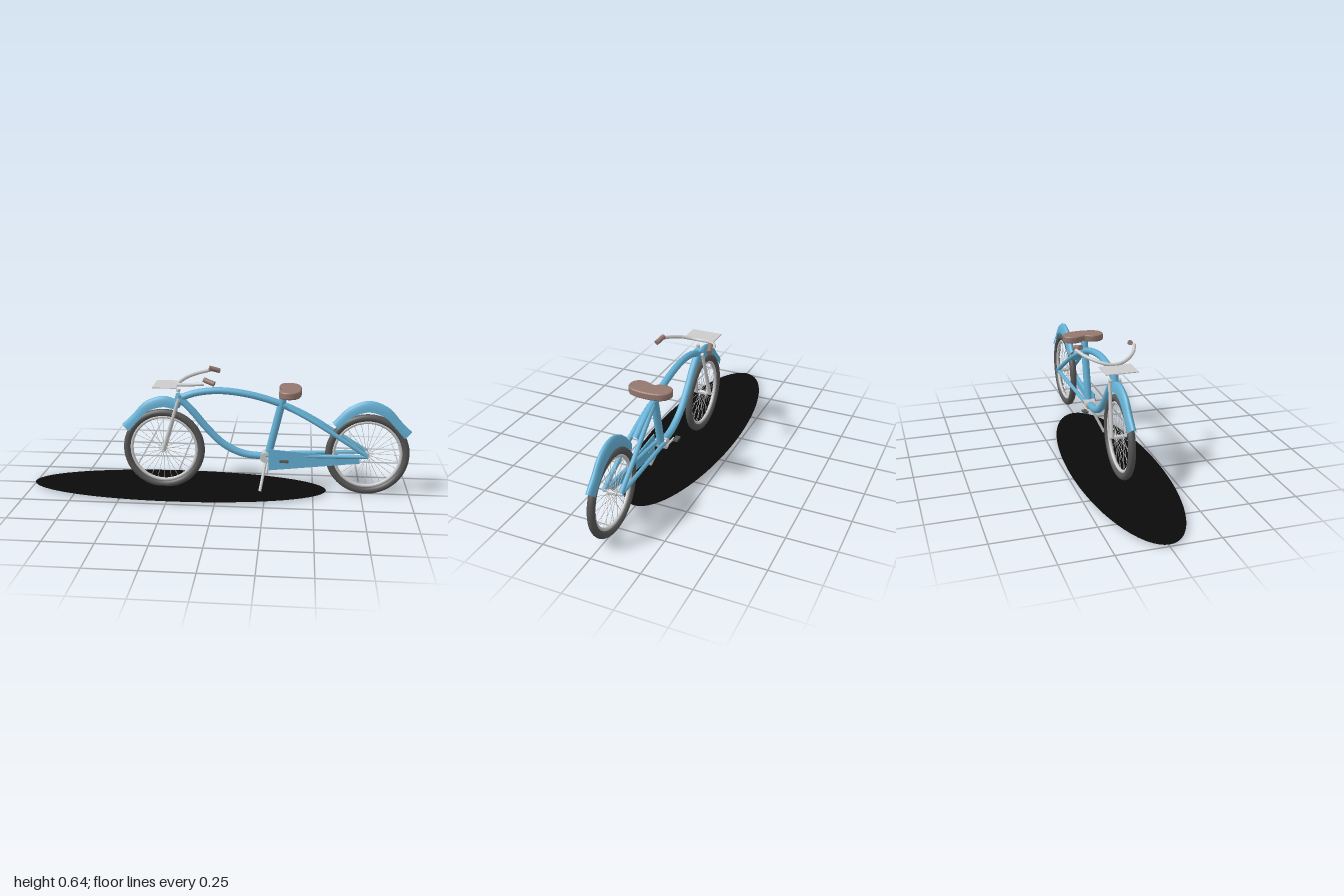
import * as THREE from 'three';

const V = (x, y, z = 0) => new THREE.Vector3(x, y, z);
const paint = (color, side = THREE.FrontSide) => new THREE.MeshStandardMaterial({ color, side });

export function createModel() {
  const model = new THREE.Group();
  const blue = paint(0x64b0d4), blueThin = paint(0x64b0d4, THREE.DoubleSide);
  const grey = paint(0xcccccc), rubber = paint(0x555555), leather = paint(0x94786f);

  const add = (name, geo, mat, parent = model) => {
    const m = new THREE.Mesh(geo, mat);
    m.name = name;
    parent.add(m);
    return m;
  };
  // Straight round bar between two points
  const bar = (name, a, b, r, mat, r2 = r, parent = model, sides = 16) => {
    const d = b.clone().sub(a);
    const m = add(name, new THREE.CylinderGeometry(r2, r, d.length(), sides), mat, parent);
    m.position.copy(a).add(b).multiplyScalar(0.5);
    m.quaternion.setFromUnitVectors(V(0, 1), d.normalize());
    return m;
  };
  const tube = (name, pts, r, mat) =>
    add(name, new THREE.TubeGeometry(new THREE.CatmullRomCurve3(pts), 48, r, 14), mat);
  const box = (name, w, h, d, x, y, z, mat) => {
    const m = add(name, new THREE.BoxGeometry(w, h, d), mat);
    m.position.set(x, y, z);
    return m;
  };

  // Flat dark ground disc
  const disc = add('groundDisc', new THREE.CircleGeometry(1, 64), paint(0x0a0a0a, THREE.DoubleSide));
  disc.scale.set(0.785, 0.235, 1);
  disc.rotation.x = -Math.PI / 2;
  disc.position.set(-0.215, 0.01, 0);

  // Wheels: tire, rim, hub and spokes
  const wheel = (name, x) => {
    const g = new THREE.Group();
    g.name = name;
    g.position.set(x, 0.217, 0);
    model.add(g);
    add('tire', new THREE.TorusGeometry(0.198, 0.019, 16, 64), rubber, g);
    add('rim', new THREE.TorusGeometry(0.174, 0.009, 10, 64), grey, g);
    bar('hub', V(0, 0, -0.025), V(0, 0, 0.025), 0.012, grey, 0.012, g);
    bar('axle', V(0, 0, -0.052), V(0, 0, 0.052), 0.006, grey, 0.006, g);
    const n = 28;
    for (let i = 0; i < n; i++) {
      const a = (i / n) * Math.PI * 2, z = i % 2 ? 0.018 : -0.018;
      bar('spoke', V(0.01 * Math.cos(a), 0.01 * Math.sin(a), z),
        V(0.172 * Math.cos(a), 0.172 * Math.sin(a), 0), 0.0013, grey, 0.0013, g, 5);
    }
  };
  wheel('frontWheel', -0.29);
  wheel('rearWheel', 0.775);

  // Fender: arched open shell between a ridge curve and a lower edge curve
  const fender = (name, x, dir, top, low) => {
    const ridge = new THREE.CatmullRomCurve3(top.map(p => V(...p)));
    const edge = new THREE.CatmullRomCurve3(low.map(p => V(...p)));
    const N = 32, M = 12, pos = [], idx = [];
    for (let i = 0; i <= N; i++) {
      const a = ridge.getPoint(i / N), b = edge.getPoint(i / N);
      for (let j = 0; j <= M; j++) {
        const t = (j / M) * Math.PI, s = Math.sin(t);
        pos.push(x + dir * (b.x + (a.x - b.x) * s), b.y + (a.y - b.y) * s, 0.021 * Math.cos(t));
        if (i < N && j < M) {
          const k = i * (M + 1) + j, l = k + M + 1;
          if (dir > 0) idx.push(k, l, k + 1, k + 1, l, l + 1);
          else idx.push(k, k + 1, l, k + 1, l + 1, l);
        }
      }
    }
    const g = new THREE.BufferGeometry();
    g.setAttribute('position', new THREE.Float32BufferAttribute(pos, 3));
    g.setIndex(idx);
    g.computeVertexNormals();
    add(name, g, blueThin);
  };
  const outer = [[0.222, 0.345], [0.165, 0.4], [0.1, 0.47], [0, 0.505]];
  const inner = [[0.185, 0.313], [0.13, 0.375], [0.08, 0.423], [0, 0.449]];
  fender('frontFender', -0.29, -1, [...outer, [-0.09, 0.48]], [...inner, [-0.07, 0.435]]);
  fender('rearFender', 0.775, 1,
    [...outer, [-0.1, 0.47], [-0.185, 0.385]], [...inner, [-0.08, 0.423], [-0.155, 0.355]]);

  // Main frame
  tube('topTube', [V(-0.205, 0.495), V(-0.12, 0.525), V(0, 0.54), V(0.15, 0.525),
    V(0.3, 0.485), V(0.43, 0.43), V(0.54, 0.37)], 0.018, blue);
  tube('downTube', [V(-0.205, 0.495), V(-0.14, 0.43), V(-0.06, 0.335), V(0.03, 0.25),
    V(0.13, 0.203), V(0.25, 0.19)], 0.019, blue);
  bar('seatTube', V(0.26, 0.19), V(0.338, 0.53), 0.02, blue);
  bar('headTube', V(-0.222, 0.45), V(-0.203, 0.515), 0.02, blue);
  for (const s of [1, -1]) {
    tube('seatStay', [V(0.36, 0.462, s * 0.01), V(0.5, 0.39, s * 0.025),
      V(0.64, 0.305, s * 0.036), V(0.775, 0.22, s * 0.043)], 0.012, blue);
    bar('chainStay', V(0.25, 0.2, s * 0.02), V(0.775, 0.217, s * 0.043), 0.011, blue);
  }

  // Fork and steering post
  for (const s of [1, -1]) {
    bar('forkLeg', V(-0.29, 0.217, s * 0.039), V(-0.208, 0.495, s * 0.026), 0.011, grey, 0.008);
  }
  bar('forkCrown', V(-0.21, 0.488, -0.032), V(-0.21, 0.488, 0.032), 0.01, grey);
  bar('steeringCap', V(-0.212, 0.528), V(-0.21, 0.543), 0.011, grey);

  // Handlebar, grips and front plate
  const half = [[-0.125, 0.6, 0.125], [-0.175, 0.588, 0.085], [-0.203, 0.576, 0.04]];
  const end = [-0.055, 0.613, 0.155];
  const side = s => [end, ...half].map(([x, y, z]) => V(x, y, s * z));
  tube('handlebar', [...side(1), V(-0.21, 0.572), ...side(-1).reverse()], 0.009, grey);
  for (const s of [1, -1]) {
    bar('grip', V(-0.062, 0.628, s * 0.131), V(-0.008, 0.611, s * 0.147), 0.013, leather);
  }
  box('frontPlate', 0.125, 0.004, 0.165, -0.272, 0.567, 0, grey);

  // Bean-shaped saddle with rounded edges
  const saddle = new THREE.Shape();
  saddle.moveTo(-0.03, 0);
  saddle.bezierCurveTo(-0.034, 0.02, -0.05, 0.03, -0.05, 0.06);
  saddle.bezierCurveTo(-0.05, 0.12, 0.035, 0.12, 0.044, 0.055);
  saddle.bezierCurveTo(0.052, 0.03, 0.052, -0.03, 0.044, -0.055);
  saddle.bezierCurveTo(0.035, -0.12, -0.05, -0.12, -0.05, -0.06);
  saddle.bezierCurveTo(-0.05, -0.03, -0.034, -0.02, -0.03, 0);
  const seat = add('seat', new THREE.ExtrudeGeometry(saddle, {
    depth: 0.022, bevelSize: 0.008, bevelThickness: 0.008, bevelSegments: 4, curveSegments: 16,
  }), leather);
  seat.rotation.x = -Math.PI / 2;
  seat.position.set(0.371, 0.534, 0);

  // Chain guard on the left flank
  const guard = new THREE.Shape([[0.265, 0.24], [0.265, 0.125], [0.735, 0.178], [0.735, 0.207]]
    .map(p => new THREE.Vector2(...p)));
  const guardMesh = add('chainGuard', new THREE.ExtrudeGeometry(guard, { depth: 0.007, bevelEnabled: false }), blue);
  guardMesh.position.z = 0.032;

  // Cranks and pedals
  bar('crankShell', V(0.248, 0.19, -0.03), V(0.248, 0.19, 0.03), 0.028, grey);
  for (const s of [1, -1]) {
    bar('crankArm', V(0.258, 0.182, s * 0.03), V(0.258 + s * 0.088, 0.18, s * 0.03), 0.006, grey);
    box('pedal', 0.045, 0.01, 0.026, 0.258 + s * 0.088, 0.18, s * 0.046, rubber);
  }

  // Kickstand
  bar('kickstand', V(0.25, 0.165, 0.012), V(0.224, 0.022, 0.079), 0.008, grey);

  return model;
}
